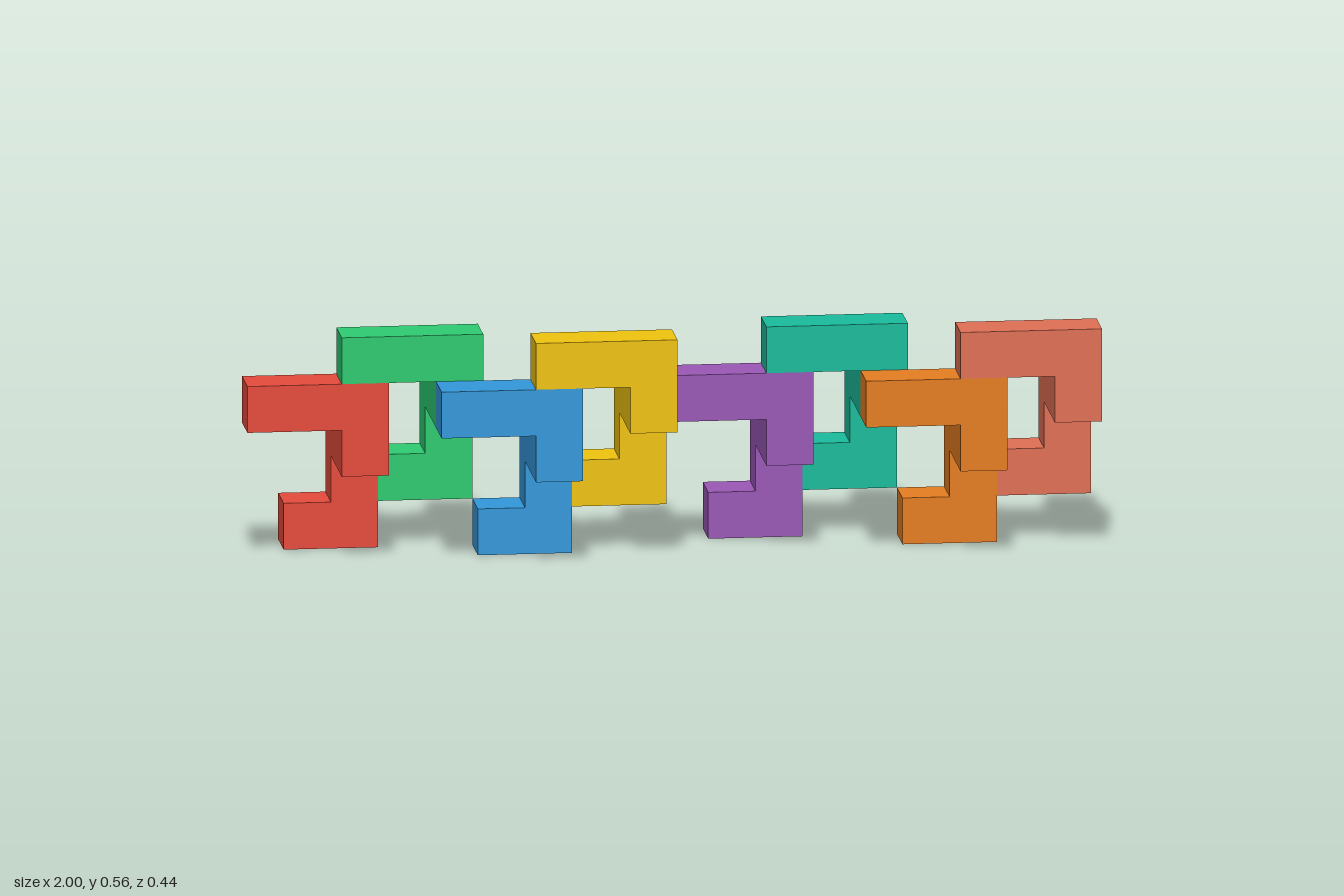
import * as THREE from 'three';

const U = 1 / 9; // edge of one cube cell

// Box given by its lowest cell corner and its size, both in cells
function block(name, [x, y, z], [w, h, d], material) {
  const mesh = new THREE.Mesh(new THREE.BoxGeometry(w * U, h * U, d * U), material);
  mesh.position.set((x + w / 2) * U, (y + h / 2) * U, (z + d / 2) * U);
  mesh.name = name;
  return mesh;
}

// One bent link: top bar, arm running backwards below it, column down, foot to -x
function createLink(name, color) {
  const material = new THREE.MeshStandardMaterial({ color, flatShading: true });
  const link = new THREE.Group();
  link.name = name;
  link.add(
    block('topBar', [0, 3, 0], [3, 1, 1], material),
    block('arm', [2, 2, -2], [1, 1, 3], material),
    block('column', [2, 0, -2], [1, 2, 1], material),
    block('foot', [1, 0, -2], [1, 1, 1], material),
  );
  return link;
}

export function createModel() {
  const model = new THREE.Group();
  model.name = 'interlockingLinks';
  // name, colour, offset in cells
  const links = [
    ['redLink', 0xe74c3c, -9, 0, 0],
    ['greenLink', 0x2ecc71, -7, 1, 0],
    ['blueLink', 0x3498db, -5, 0, 1],
    ['yellowLink', 0xf1c40f, -3, 1, 1],
    ['purpleLink', 0x9b59b6, 0, 0, 0],
    ['tealLink', 0x1abc9c, 2, 1, 0],
    ['orangeLink', 0xe67e22, 4, 0, 1],
    ['coralLink', 0xe17055, 6, 1, 1],
  ];
  for (const [name, color, x, y, z] of links) {
    const link = createLink(name, color);
    link.position.set(x * U, y * U, z * U);
    model.add(link);
  }
  return model;
}
